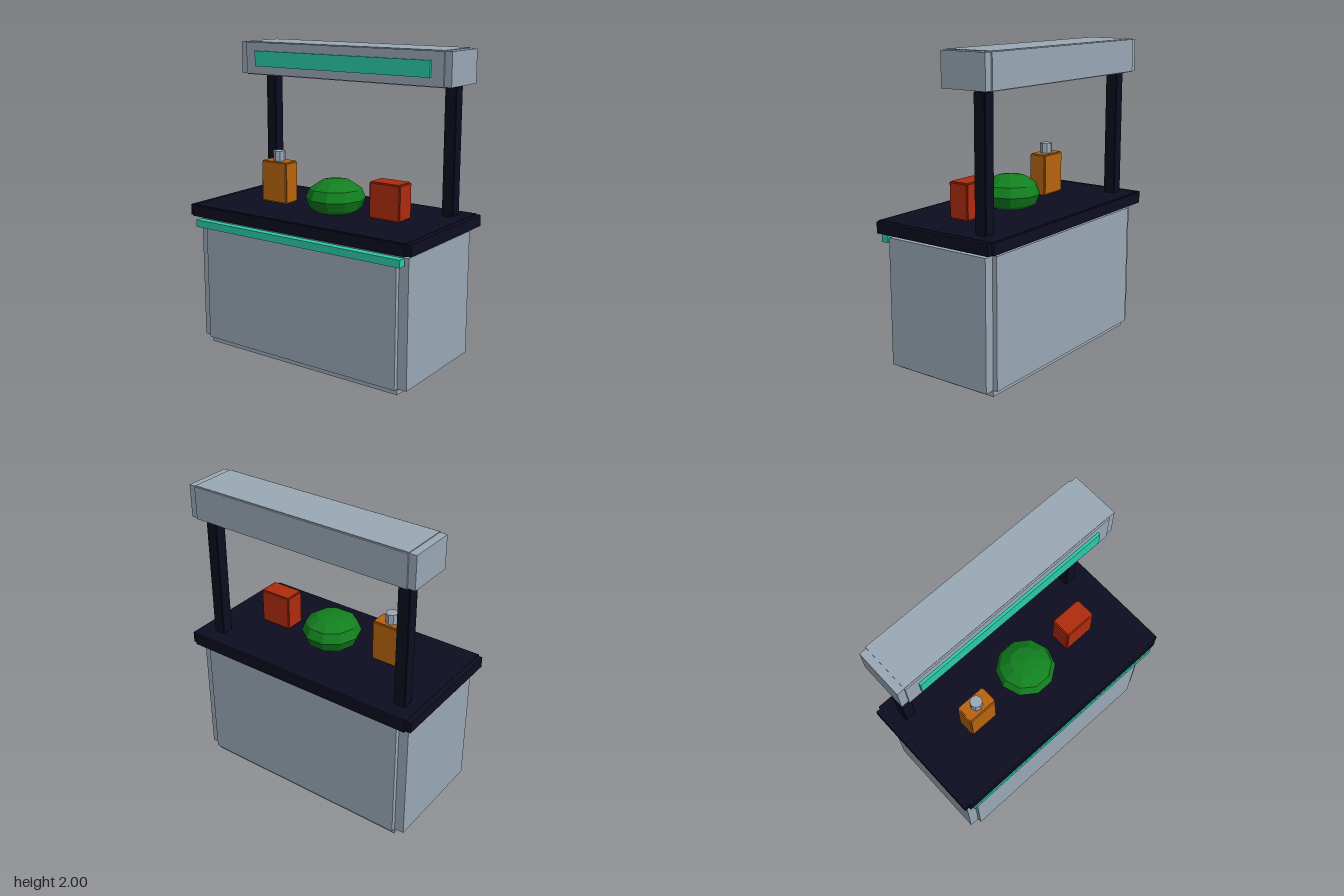
import * as THREE from 'three';

const mat = (name, color, flatShading = false) => {
  const m = new THREE.MeshStandardMaterial({ color, flatShading });
  m.name = name;
  return m;
};

export function createModel() {
  const model = new THREE.Group();
  const grey = mat('grey panel', 0x9aa9b6);
  const dark = mat('dark frame', 0x0d0d20);
  const teal = mat('teal trim', 0x2ccba8);
  const orange = mat('orange bottle', 0xb8640e);
  const red = mat('red box', 0xb02c0e);
  const green = mat('green melon', 0x12801f, true);

  const add = (name, geometry, material, x, y, z, parent = model) => {
    const mesh = new THREE.Mesh(geometry, material);
    mesh.name = name;
    mesh.position.set(x, y, z);
    parent.add(mesh);
    return mesh;
  };

  // Plain box given by its limits [min, max] on each axis
  const box = (name, material, [x0, x1], [y0, y1], [z0, z1], parent) =>
    add(name, new THREE.BoxGeometry(x1 - x0, y1 - y0, z1 - z0), material,
      (x0 + x1) / 2, (y0 + y1) / 2, (z0 + z1) / 2, parent);

  // Box with notched edges: three slabs, each full size on one axis only
  const steppedBox = (name, material, x, y, z, [ix, iyBottom, iyTop, iz]) => {
    const group = new THREE.Group();
    group.name = name;
    const xi = [x[0] + ix, x[1] - ix];
    const yi = [y[0] + iyBottom, y[1] - iyTop];
    const zi = [z[0] + iz, z[1] - iz];
    box(name + 'Sides', material, x, yi, zi, group);
    box(name + 'Core', material, xi, y, zi, group);
    box(name + 'FrontBack', material, xi, yi, z, group);
    model.add(group);
  };

  // Counter and worktop
  steppedBox('counterBody', grey, [-0.8, 0.8], [0, 0.882], [-0.4, 0.4], [0.065, 0.04, 0.025, 0.03]);
  steppedBox('worktop', dark, [-0.845, 0.845], [0.882, 0.96], [-0.442, 0.442], [0.033, 0.003, 0.003, 0.016]);
  box('counterTrim', teal, [-0.785, 0.785], [0.815, 0.863], [0.395, 0.445]);

  // Posts and canopy
  for (const side of [-1, 1]) {
    steppedBox(side < 0 ? 'rightPost' : 'leftPost', dark,
      [side * 0.702 - 0.04, side * 0.702 + 0.04], [0.95, 1.79], [-0.33, -0.248], [0.005, 0.02, 0.02, 0.005]);
  }
  steppedBox('canopy', grey, [-0.803, 0.803], [1.78, 2], [-0.393, -0.06], [0.048, 0.005, 0.005, 0.01]);
  box('signPanel', teal, [-0.67, 0.67], [1.838, 1.94], [-0.065, -0.043]);

  // Goods on the worktop
  steppedBox('bottle', orange, [-0.497, -0.292], [0.969, 1.243], [-0.012, 0.112], [0.008, 0.008, 0.008, 0.008]);
  add('bottleCap', new THREE.CylinderGeometry(0.04, 0.04, 0.075, 8), mat('grey cap', 0x9aa9b6, true), -0.395, 1.272, 0.05);
  steppedBox('carton', red, [0.34, 0.562], [0.969, 1.2], [-0.048, 0.093], [0.008, 0.008, 0.008, 0.008]);
  add('melon', new THREE.SphereGeometry(0.193, 10, 6), green, 0.04, 1.047, 0.021).scale.y = 0.65;

  return model;
}
